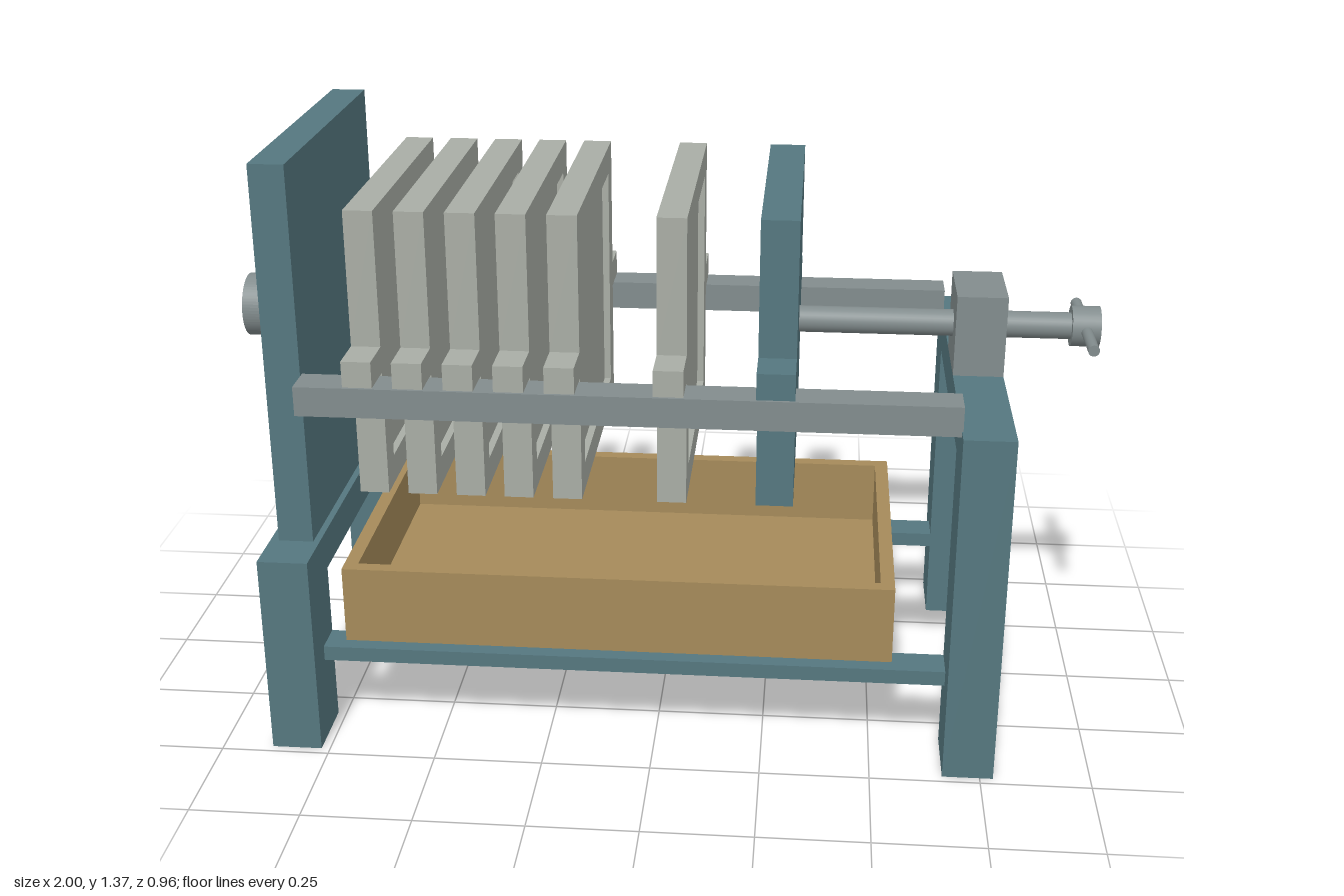
import * as THREE from 'three';

const paint = (color) => new THREE.MeshStandardMaterial({ color });

export function createModel() {
  const model = new THREE.Group();
  const teal = paint(0x55777f), wood = paint(0xa58a5a);
  const stone = paint(0xa9ada5), steel = paint(0x828c8d);

  const add = (name, geometry, material, parent = model) => {
    const mesh = new THREE.Mesh(geometry, material);
    mesh.name = name;
    parent.add(mesh);
    return mesh;
  };
  // Box given by its limits on each axis
  const box = (name, material, [x0, x1], [y0, y1], [z0, z1], parent) => {
    const g = new THREE.BoxGeometry(x1 - x0, y1 - y0, z1 - z0);
    g.translate((x0 + x1) / 2, (y0 + y1) / 2, (z0 + z1) / 2);
    return add(name, g, material, parent);
  };
  // Outline mirrored across z = 0 and extruded along x
  const slab = (name, material, half, x0, x1, hole, parent) => {
    const points = [...half, ...half.slice().reverse().map(([z, y]) => [-z, y])];
    const shape = new THREE.Shape(points.map(([z, y]) => new THREE.Vector2(z, y)));
    if (hole) {
      const [w, y0, y1] = hole;
      shape.holes.push(new THREE.Path([[-w, y0], [-w, y1], [w, y1], [w, y0]].map(([z, y]) => new THREE.Vector2(z, y))));
    }
    const g = new THREE.ExtrudeGeometry(shape, { depth: x1 - x0, bevelEnabled: false });
    g.rotateY(Math.PI / 2);
    g.translate(x0, 0, 0);
    return add(name, g, material, parent);
  };
  const axisY = 0.925;
  const rod = (name, radius, x0, x1) => {
    const g = new THREE.CylinderGeometry(radius, radius, x1 - x0, 32);
    g.rotateZ(Math.PI / 2);
    g.translate((x0 + x1) / 2, axisY, 0);
    return add(name, g, steel);
  };

  // End frames: two legs joined by a crossbar
  const frame = (name, x0, x1, top) =>
    slab(name, teal, [[0.32, top - 0.09], [0.32, 0], [0.48, 0], [0.48, top]], x0, x1);
  frame('lowEndFrame', -0.885, -0.77, 0.48);
  frame('tallEndFrame', 0.665, 0.78, 0.83);

  // Fixed head plate standing on the low frame
  box('fixedHead', teal, [-0.865, -0.785], [0.48, 1.365], [-0.368, 0.368]);

  // Side rails and lower stretchers
  for (const s of [1, -1]) {
    const span = (a, b) => (s > 0 ? [a, b] : [-b, -a]);
    const side = s > 0 ? 'front' : 'back';
    box(side + 'Rail', steel, [-0.785, 0.668], [0.818, 0.886], span(0.352, 0.435));
    box(side + 'Stretcher', teal, [-0.77, 0.665], [0.19, 0.225], span(0.32, 0.4));
  }

  // Filter plates with side lugs and a recessed centre panel
  const plateOutline = [[0.33, 0.593], [0.33, 0.885], [0.428, 0.885], [0.428, 0.946], [0.33, 0.946], [0.33, 1.257]];
  for (const x of [-0.643, -0.532, -0.421, -0.311, -0.2, 0.036]) {
    const plate = new THREE.Group();
    plate.name = 'filterPlate';
    slab('plateFrame', stone, plateOutline, x - 0.033, x + 0.033, [0.265, 0.658, 1.192], plate);
    box('platePanel', stone, [x - 0.017, x + 0.017], [0.65, 1.2], [-0.27, 0.27], plate);
    model.add(plate);
  }

  // Moving pressure plate
  slab('pressurePlate', teal, plateOutline, 0.225, 0.309);

  // Screw, bearing block and turning handle
  rod('screw', 0.031, 0.305, 0.94);
  box('bearingBlock', steel, [0.665, 0.78], [0.828, 1.02], [-0.097, 0.097]);
  rod('handleHub', 0.047, 0.935, 1);
  const bar = new THREE.CylinderGeometry(0.013, 0.013, 0.336, 24);
  bar.rotateX(Math.PI / 2);
  bar.translate(0.968, axisY, 0);
  add('handleBar', bar, steel);

  // Hollow inlet pipe with its flange
  rod('inletFlange', 0.1, -0.895, -0.86);
  const ring = new THREE.Shape().absarc(0, 0, 0.074, 0, Math.PI * 2);
  ring.holes.push(new THREE.Path().absarc(0, 0, 0.05, 0, Math.PI * 2, true));
  const pipe = new THREE.ExtrudeGeometry(ring, { depth: 0.107, bevelEnabled: false, curveSegments: 32 });
  pipe.rotateY(Math.PI / 2);
  pipe.translate(-1, axisY, 0);
  add('inletPipe', pipe, steel);

  // Open drip tray
  const tray = new THREE.Group();
  tray.name = 'dripTray';
  const w = 0.032, X = [-0.725, 0.545], Y = [0.225, 0.41], Z = 0.364;
  box('trayFloor', wood, X, [0.225, 0.255], [-Z, Z], tray);
  box('trayFrontWall', wood, X, Y, [Z - w, Z], tray);
  box('trayBackWall', wood, X, Y, [-Z, w - Z], tray);
  box('trayLeftWall', wood, [X[1] - w, X[1]], Y, [w - Z, Z - w], tray);
  box('trayRightWall', wood, [X[0], X[0] + w], Y, [w - Z, Z - w], tray);
  model.add(tray);

  return model;
}
